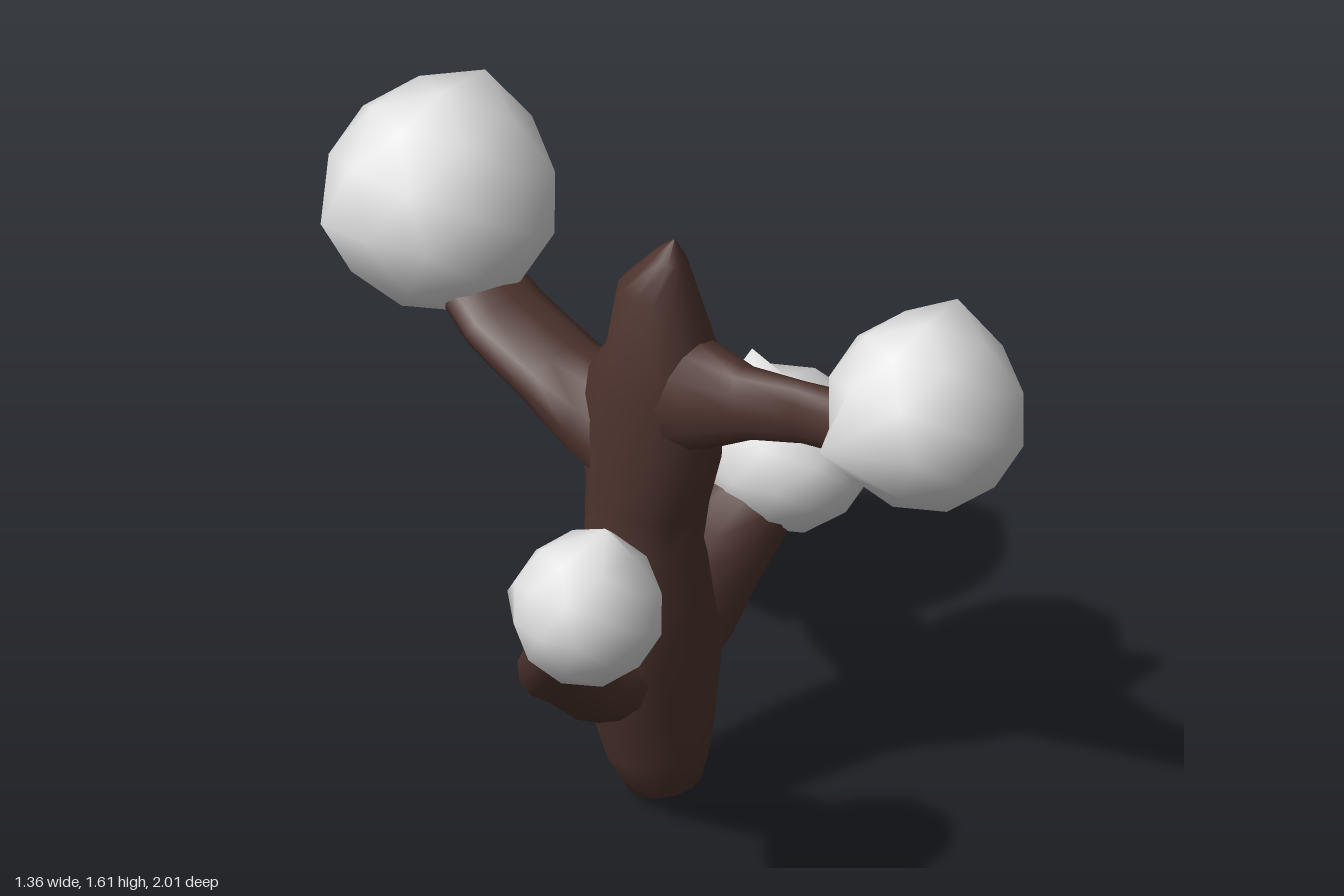
import * as THREE from 'three';
import { mergeVertices } from 'three/addons/utils/BufferGeometryUtils.js';

const SIDES = 12;

// Skin over oval rings [x, y, z, sideRadius, upRadius] set square to the path
function loft(rings, ref) {
  const at = (i) => new THREE.Vector3(...rings[Math.min(Math.max(i, 0), rings.length - 1)].slice(0, 3));
  const pos = [], index = [];
  rings.forEach((ring, i) => {
    const t = at(i + 1).sub(at(i - 1)).normalize();
    const side = ref.clone().cross(t).normalize();
    const up = t.clone().cross(side);
    for (let j = 0; j < SIDES; j++) {
      const a = (j / SIDES) * Math.PI * 2;
      const p = at(i).addScaledVector(side, Math.cos(a) * ring[3]).addScaledVector(up, Math.sin(a) * ring[4]);
      pos.push(p.x, p.y, p.z);
      if (i < rings.length - 1) {
        const k = (j + 1) % SIDES, r = i * SIDES, n = r + SIDES;
        index.push(r + j, r + k, n + k, r + j, n + k, n + j);
      }
    }
  });
  const geo = new THREE.BufferGeometry();
  geo.setAttribute('position', new THREE.Float32BufferAttribute(pos, 3));
  geo.setIndex(index);
  geo.computeVertexNormals();
  return geo;
}

// Faceted ball with smooth normals; the vertex nearest each peak is pulled out to it
function lumpyBall(center, radii, peaks) {
  let geo = new THREE.IcosahedronGeometry(1, 1);
  geo.deleteAttribute('uv');
  geo.deleteAttribute('normal');
  geo = mergeVertices(geo, 1e-3);
  geo.scale(...radii);
  geo.translate(...center);
  const pos = geo.attributes.position, v = new THREE.Vector3();
  for (const peak of peaks) {
    const target = new THREE.Vector3(...peak);
    let best = 0, bestD = Infinity;
    for (let i = 0; i < pos.count; i++) {
      const d = v.fromBufferAttribute(pos, i).distanceTo(target);
      if (d < bestD) { bestD = d; best = i; }
    }
    pos.setXYZ(best, ...peak);
  }
  geo.computeVertexNormals();
  return geo;
}

export function createModel() {
  const model = new THREE.Group();
  const bark = new THREE.MeshStandardMaterial({ color: 0x4e342e });
  bark.name = 'barkBrown';
  const pale = new THREE.MeshStandardMaterial({ color: 0xe0e0e0 });
  pale.name = 'paleGrey';
  const add = (name, geo, mat) => {
    const mesh = new THREE.Mesh(geo, mat);
    mesh.name = name;
    model.add(mesh);
  };
  const Y = new THREE.Vector3(0, 1, 0), Z = new THREE.Vector3(0, 0, 1);

  // Trunk, from rounded foot to pointed tip
  add('trunk', loft([
    [0.03, 0, -0.01, 0.002, 0.002],
    [0.03, 0.035, -0.01, 0.09, 0.085],
    [0.025, 0.13, -0.025, 0.125, 0.125],
    [0.025, 0.25, -0.035, 0.165, 0.135],
    [0.03, 0.4, -0.045, 0.21, 0.14],
    [0.025, 0.54, -0.06, 0.175, 0.14],
    [0.03, 0.68, -0.07, 0.135, 0.14],
    [0.03, 0.8, -0.06, 0.132, 0.15],
    [0.02, 0.95, -0.04, 0.13, 0.18],
    [0.02, 1.1, -0.025, 0.125, 0.175],
    [0.02, 1.2, 0, 0.12, 0.145],
    [0.02, 1.37, -0.02, 0.09, 0.095],
    [0.03, 1.46, 0.01, 0.04, 0.04],
    [0.03, 1.51, 0.02, 0.002, 0.002],
  ], Z), bark);

  // Branches, each running into its ball
  const branches = {
    frontBranch: [
      [0.02, 1.09, 0, 0.11, 0.15], [0.01, 1.15, 0.14, 0.1, 0.13], [-0.01, 1.19, 0.28, 0.065, 0.09],
      [0, 1.22, 0.43, 0.045, 0.08], [0.01, 1.26, 0.7, 0.07, 0.075],
    ],
    backBranch: [
      [0.02, 0.92, -0.05, 0.12, 0.14], [0.03, 0.96, -0.2, 0.12, 0.12], [0.04, 1.01, -0.33, 0.12, 0.085],
      [0.05, 1.08, -0.5, 0.12, 0.07], [0.09, 1.17, -0.68, 0.1, 0.06],
    ],
    leftBranch: [
      [0, 0.38, -0.06, 0.13, 0.17], [0.16, 0.44, -0.06, 0.13, 0.16], [0.27, 0.52, -0.06, 0.125, 0.125],
      [0.36, 0.59, -0.05, 0.12, 0.105], [0.47, 0.7, -0.04, 0.11, 0.09],
    ],
    rightBranch: [
      [0, 0.36, -0.06, 0.12, 0.15], [-0.17, 0.39, -0.07, 0.12, 0.11], [-0.29, 0.47, -0.07, 0.09, 0.085],
      [-0.36, 0.61, 0.02, 0.085, 0.085], [-0.43, 0.76, 0.13, 0.08, 0.08],
    ],
  };
  for (const [name, rings] of Object.entries(branches)) add(name, loft(rings, Y), bark);

  // Balls, each with a peak on top and one at the side
  add('frontBall', lumpyBall([0.035, 1.34, 0.765], [0.23, 0.235, 0.24],
    [[0.13, 1.605, 0.78], [-0.26, 1.34, 0.69]]), pale);
  add('backBall', lumpyBall([0.1, 1.3, -0.73], [0.275, 0.275, 0.275],
    [[0.22, 1.59, -0.7], [-0.215, 1.33, -0.83]]), pale);
  add('leftBall', lumpyBall([0.48, 0.71, -0.02], [0.2, 0.195, 0.21],
    [[0.48, 0.94, -0.12], [0.43, 0.72, 0.21]]), pale);
  add('rightBall', lumpyBall([-0.495, 0.835, 0.195], [0.18, 0.185, 0.18],
    [[-0.45, 1.035, 0.21], [-0.56, 0.84, 0.01]]), pale);

  return model;
}
